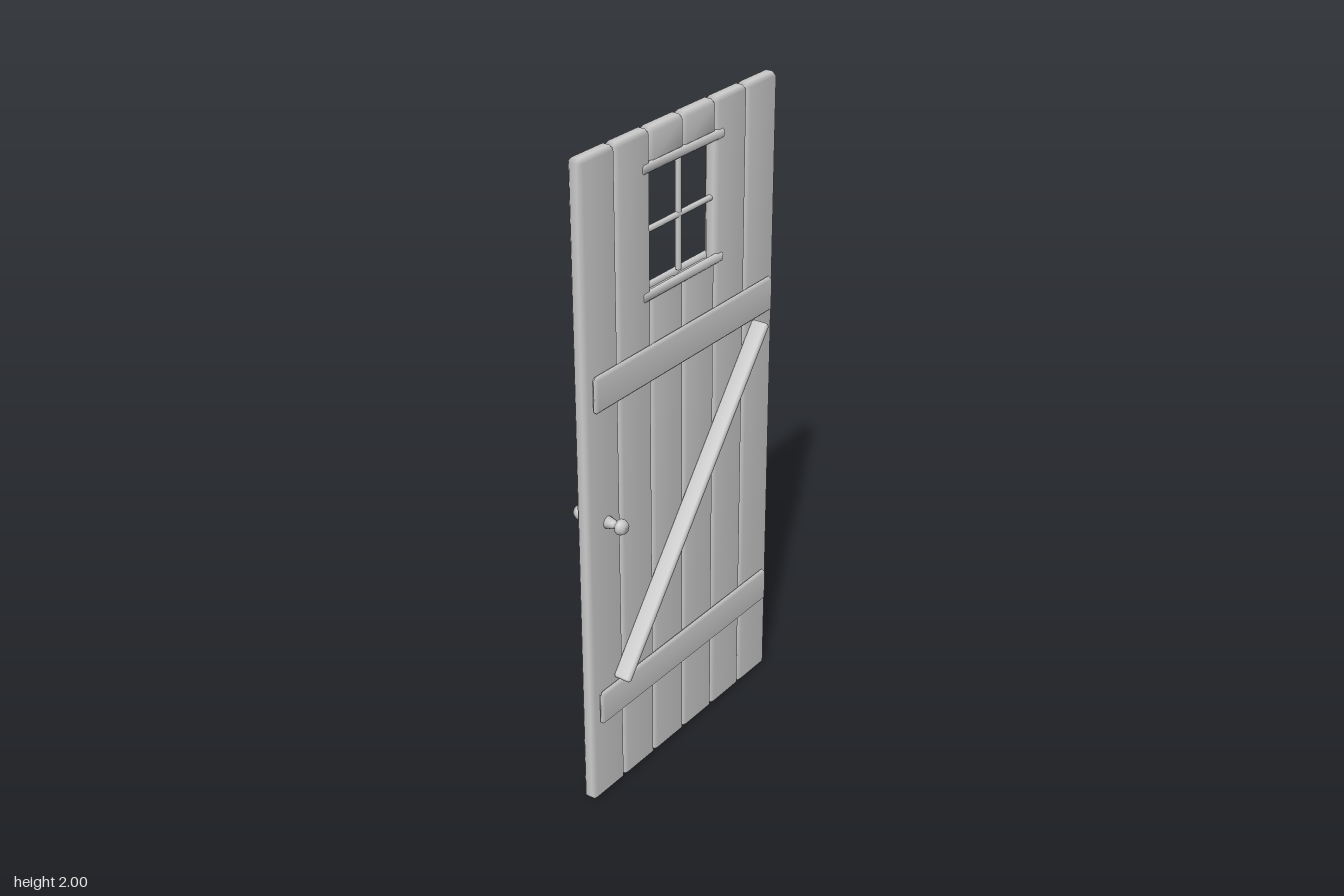
import * as THREE from 'three';
import { ConvexGeometry } from 'three/addons/geometries/ConvexGeometry.js';
import { mergeVertices } from 'three/addons/utils/BufferGeometryUtils.js';

const material = new THREE.MeshStandardMaterial({ color: 0xcccccc });

// Box with chamfered edges and softly blended normals
function chamferBox(w, h, d, b) {
  const points = [];
  for (const x of [-1, 1]) for (const y of [-1, 1]) for (const z of [-1, 1]) {
    const X = x * w / 2, Y = y * h / 2, Z = z * d / 2;
    points.push(
      new THREE.Vector3(X, Y - y * b, Z - z * b),
      new THREE.Vector3(X - x * b, Y, Z - z * b),
      new THREE.Vector3(X - x * b, Y - y * b, Z)
    );
  }
  const raw = new ConvexGeometry(points);
  raw.deleteAttribute('normal');
  const geometry = mergeVertices(raw, 1e-5);
  geometry.computeVertexNormals();
  return geometry;
}

export function createModel() {
  const door = new THREE.Group();
  door.name = 'plankDoor';

  const add = (name, geometry, x = 0, y = 0, z = 0) => {
    const mesh = new THREE.Mesh(geometry, material);
    mesh.name = name;
    mesh.position.set(x, y, z);
    door.add(mesh);
    return mesh;
  };

  // Chamfered box given by its limits on each axis
  const block = (name, [x0, x1], [y0, y1], [z0, z1], b) =>
    add(name, chamferBox(x1 - x0, y1 - y0, z1 - z0, b),
      (x0 + x1) / 2, (y0 + y1) / 2, (z0 + z1) / 2);

  // Six planks; the middle two are interrupted by the window
  const thickness = [-0.024, 0.022];
  for (let i = 0; i < 6; i++) {
    const x = [-0.46 + i * 0.15, -0.31 + i * 0.15];
    if (i === 2 || i === 3) {
      block('lowerPlank', x, [0, 1.53], thickness, 0.012);
      block('upperPlank', x, [1.9, 2], thickness, 0.012);
    } else {
      block('plank', x, [0, 2], thickness, 0.012);
    }
  }

  // Window rails on both faces, and crossed glazing bars
  for (const y of [1.53, 1.895]) {
    block('windowRailFront', [-0.2, 0.175], [y - 0.014, y + 0.014], [0.008, 0.027], 0.006);
    block('windowRailBack', [-0.2, 0.175], [y - 0.014, y + 0.014], [-0.029, -0.01], 0.006);
  }
  block('verticalGlazingBar', [-0.018, -0.002], [1.545, 1.885], [-0.008, 0.008], 0.004);
  block('horizontalGlazingBar', [-0.165, 0.145], [1.702, 1.718], [-0.008, 0.008], 0.004);

  // Front battens, with hinge straps and rivets on the back
  for (const y of [0.325, 1.335]) {
    block('batten', [-0.435, 0.41], [y - 0.055, y + 0.055], [0.02, 0.041], 0.009);
    block('hingeStrap', [0, 0.456], [y - 0.023, y + 0.023], [-0.033, -0.022], 0.003);
    add('hingeRivet', new THREE.SphereGeometry(0.009, 12, 8), 0.008, y, -0.034);
  }

  // Diagonal brace, standing on its narrow edge
  const a = new THREE.Vector2(-0.355, 0.39), c = new THREE.Vector2(0.338, 1.27);
  const brace = add('diagonalBrace', chamferBox(a.distanceTo(c), 0.022, 0.055, 0.006),
    (a.x + c.x) / 2, (a.y + c.y) / 2, 0.048);
  brace.rotation.z = c.clone().sub(a).angle();

  // Turned knob on each face
  const profile = [[0, 0], [0.019, 0], [0.012, 0.03], [0.013, 0.033], [0.023, 0.042],
    [0.023, 0.052], [0.016, 0.064], [0, 0.065]].map(p => new THREE.Vector2(...p));
  for (const side of [1, -1]) {
    const knob = add(side > 0 ? 'frontKnob' : 'backKnob',
      new THREE.LatheGeometry(profile, 16), -0.375, 0.92, side > 0 ? 0.021 : -0.024);
    knob.rotation.x = side * Math.PI / 2;
  }

  return door;
}
